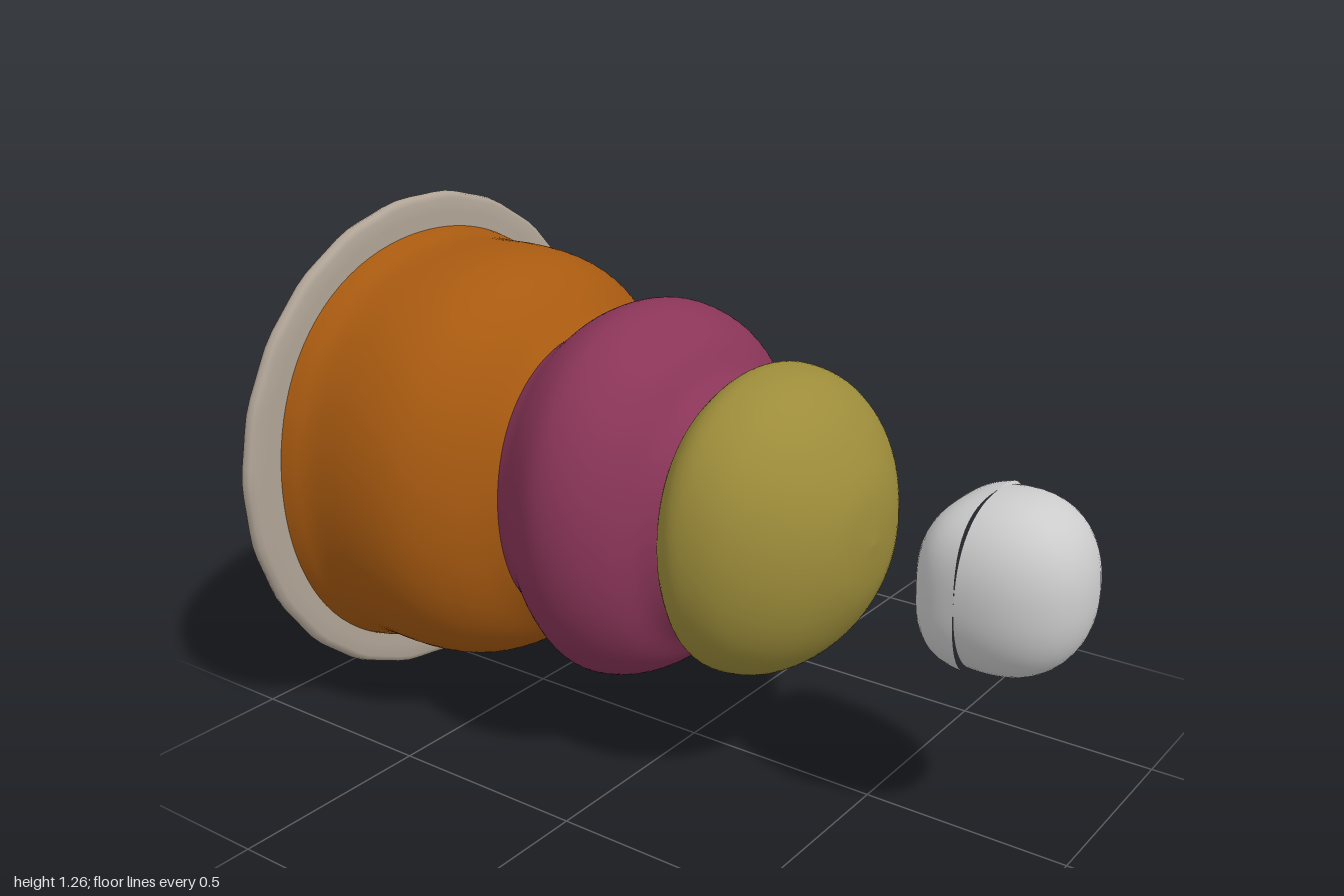
import * as THREE from 'three';

const CENTRE_Y = 0.63;

// Smooth curve through [radius, z] points, ordered from back to front
function smooth(points, n = 40) {
  const curve = new THREE.SplineCurve(points.map(([r, z]) => new THREE.Vector2(r, z)));
  return curve.getPoints(n).map((p) => new THREE.Vector2(Math.max(p.x, 0), p.y));
}

// Turn a profile around the z axis, then reshape the rings by a rule
function turned(name, profile, color, rule) {
  const geo = new THREE.LatheGeometry(profile, 96);
  geo.rotateX(Math.PI / 2);
  const pos = geo.attributes.position;
  const v = new THREE.Vector3();
  for (let i = 0; i < pos.count; i++) {
    v.fromBufferAttribute(pos, i);
    rule(v);
    pos.setXYZ(i, v.x, v.y, v.z);
  }
  const mesh = new THREE.Mesh(geo, new THREE.MeshStandardMaterial({ color, side: THREE.DoubleSide }));
  mesh.name = name;
  mesh.position.y = CENTRE_Y;
  return mesh;
}

// Body rings are a little square, and narrower across near the waist
function bodyRule(v) {
  const a = Math.atan2(v.y, v.x);
  const square = 1 + 0.012 * (1 - Math.cos(4 * a));
  const narrow = 1 - 0.08 * Math.exp(-(((v.z + 0.25) / 0.13) ** 2));
  v.x *= square * narrow;
  v.y *= square;
}

// The rim of the base is slightly uneven
function baseRule(v) {
  const a = Math.atan2(v.y, v.x);
  const r = Math.hypot(v.x, v.y);
  const wave = 1 + (r > 0.5 ? 0.003 * Math.sin(23 * a) : 0);
  v.x *= 1.006 * wave;
  v.y *= 0.998 * wave;
}

// Rounded knob, wide at the back and sagging at its lower back edge
function knob() {
  const geo = new THREE.SphereGeometry(1, 48, 32);
  const pos = geo.attributes.position;
  const v = new THREE.Vector3();
  for (let i = 0; i < pos.count; i++) {
    v.fromBufferAttribute(pos, i);
    const e = v.z < 0 ? 2.9 : 2.25;
    const norm = (Math.abs(v.x) ** e + Math.abs(v.y) ** e + Math.abs(v.z) ** e) ** (1 / e);
    v.divideScalar(norm);
    const sag = v.y < 0 ? 0.02 * v.y * v.z : 0.03 * v.y * v.z;
    const taper = 1 + 0.05 * v.y;
    pos.setXYZ(i, v.x * 0.182 * taper, v.y * 0.2 + sag, v.z * (v.z < 0 ? 0.135 : 0.225));
  }
  geo.computeVertexNormals();
  const mesh = new THREE.Mesh(geo, new THREE.MeshStandardMaterial({ color: 0xcccccc }));
  mesh.name = 'frontKnob';
  mesh.position.set(0.006, 0.625, 0.775);
  return mesh;
}

// Shallow dish with concentric ridges on the back and a rolled rim
function baseProfile() {
  const pts = [new THREE.Vector2(0, -1), new THREE.Vector2(0.2, -1)];
  for (let i = 0; i <= 48; i++) {
    const t = i / 48;
    const z = -0.997 + 0.125 * t ** 1.1 + 0.0025 * Math.sin(t * Math.PI * 14);
    pts.push(new THREE.Vector2(0.22 + 0.375 * t, z));
  }
  for (const [r, z] of [[0.615, -0.868], [0.628, -0.86], [0.632, -0.847], [0.628, -0.834],
    [0.615, -0.827], [0.58, -0.826], [0, -0.826]]) pts.push(new THREE.Vector2(r, z));
  return pts;
}

export function createModel() {
  const group = new THREE.Group();
  group.name = 'stackedRings';

  group.add(turned('base', baseProfile(), 0xb0a496, baseRule));

  group.add(turned('largeRing', smooth([
    [0.545, -0.835], [0.538, -0.8], [0.525, -0.74], [0.525, -0.62], [0.515, -0.53],
    [0.49, -0.46], [0.445, -0.395], [0.385, -0.34], [0.362, -0.318],
  ]), 0xa85a10, bodyRule));

  group.add(turned('middleRing', smooth([
    [0.362, -0.318], [0.385, -0.285], [0.43, -0.225], [0.456, -0.16], [0.455, -0.1],
    [0.43, -0.03], [0.385, 0.03], [0.325, 0.075], [0.295, 0.11],
  ]), 0x8a3558, bodyRule));

  group.add(turned('smallRing', smooth([
    [0.295, 0.11], [0.32, 0.13], [0.353, 0.17], [0.362, 0.22], [0.345, 0.295],
    [0.295, 0.37], [0.22, 0.43], [0.12, 0.475], [0, 0.49],
  ]), 0x9c8c3a, bodyRule));

  group.add(knob());

  // Fresh normals after reshaping, joined across each lathe seam
  group.children.forEach((mesh) => {
    if (mesh.name === 'frontKnob') return;
    const geo = mesh.geometry;
    geo.computeVertexNormals();
    const n = geo.attributes.normal;
    const rows = n.count / 97;
    for (let j = 0; j < rows; j++) {
      const last = 96 * rows + j;
      const s = new THREE.Vector3().fromBufferAttribute(n, j)
        .add(new THREE.Vector3().fromBufferAttribute(n, last)).normalize();
      n.setXYZ(j, s.x, s.y, s.z);
      n.setXYZ(last, s.x, s.y, s.z);
    }
  });
  return group;
}
